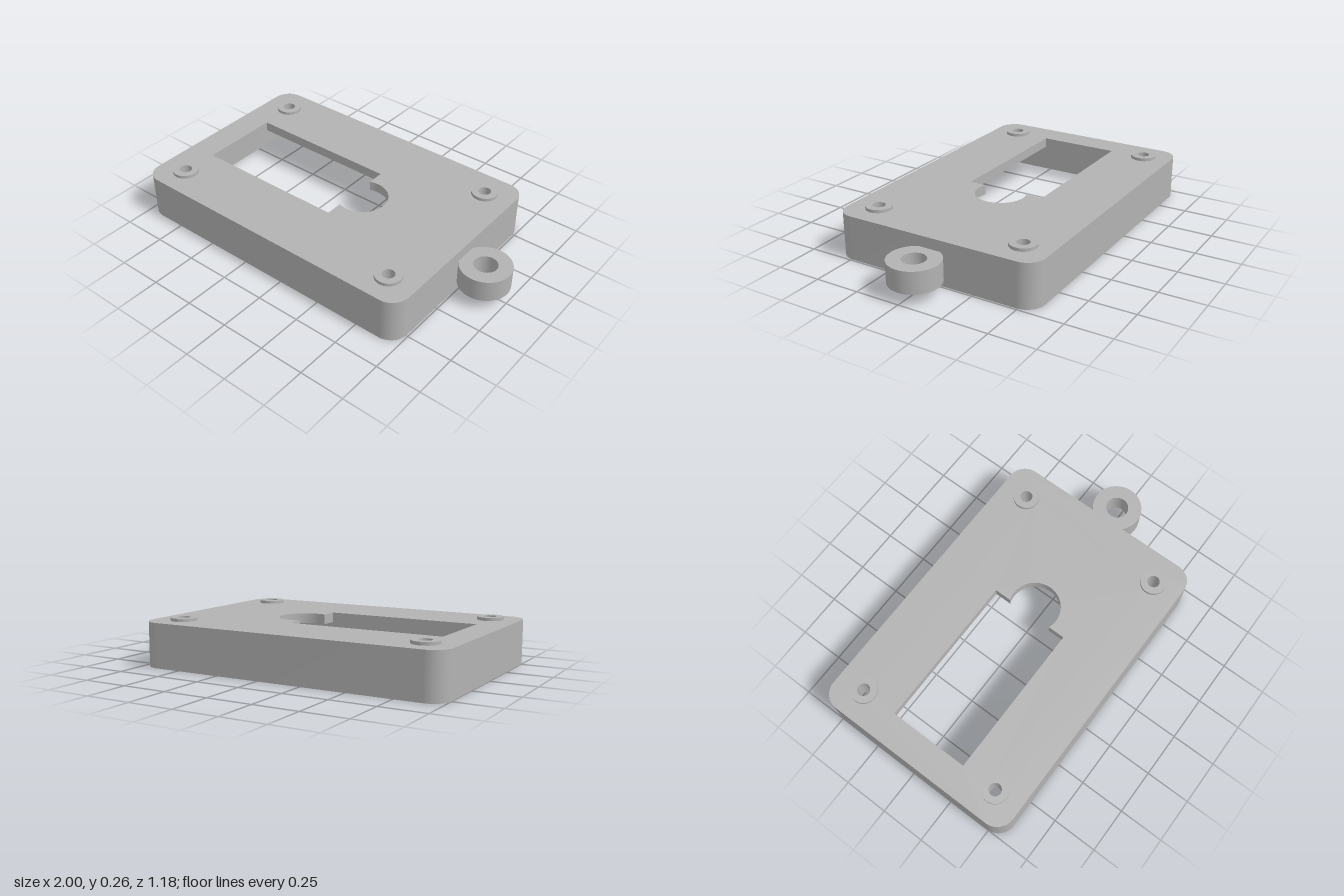
import * as THREE from 'three';
import { mergeGeometries, toCreasedNormals } from 'three/addons/utils/BufferGeometryUtils.js';

const SEG = 24;
const HEIGHT = 0.245, CEILING = 0.19, WALL = 0.055;
const X0 = -1, X1 = 0.74, HALF_Z = 0.592, CORNER = 0.1;
const BOSS_X = [-0.84, 0.575], BOSS_Z = 0.433;

// Crease at a larger scale so that nearby points stay distinct
function crease(geometry) {
  geometry.scale(100, 100, 100);
  const result = toCreasedNormals(geometry, 0.6);
  return result.scale(0.01, 0.01, 0.01);
}

function roundedOutline() {
  const s = new THREE.Shape(), r = CORNER, z = HALF_Z;
  s.absarc(X1 - r, z - r, r, 0, Math.PI / 2);
  s.absarc(X0 + r, z - r, r, Math.PI / 2, Math.PI);
  s.absarc(X0 + r, r - z, r, Math.PI, Math.PI * 1.5);
  s.absarc(X1 - r, r - z, r, Math.PI * 1.5, Math.PI * 2);
  s.closePath();
  return s;
}

function cavityOutline() {
  const a = X0 + WALL, b = X1 - WALL, z = HALF_Z - WALL;
  return new THREE.Shape([[a, -z], [b, -z], [b, z], [a, z]].map(p => new THREE.Vector2(...p)));
}

// Rectangular window with a round bay on its +x side
function windowOutline() {
  const s = new THREE.Shape(), left = -0.84, right = 0.025, z = 0.227, r = 0.14, cx = 0.075;
  const a = Math.acos((right - cx) / r);
  s.moveTo(left, -z);
  s.lineTo(right, -z);
  s.absarc(cx, 0, r, -a, a);
  s.lineTo(right, z);
  s.lineTo(left, z);
  s.closePath();
  return s;
}

// Flat face at height y, looking up or down
function cap(outline, holes, y, up) {
  const s = outline.clone();
  s.holes = holes;
  const g = new THREE.ShapeGeometry(s, SEG).toNonIndexed();
  g.deleteAttribute('normal');
  g.deleteAttribute('uv');
  return g.rotateX(up ? -Math.PI / 2 : Math.PI / 2).translate(0, y, 0);
}

// Upright band along an outline, looking outward or inward
function band(outline, y0, y1, outward) {
  const pts = outline.getPoints(SEG);
  if (THREE.ShapeUtils.isClockWise(pts) === outward) pts.reverse();
  const pos = [];
  pts.forEach((a, i) => {
    const b = pts[(i + 1) % pts.length];
    if (a.distanceTo(b) < 1e-6) return;
    pos.push(a.x, y0, -a.y, b.x, y0, -b.y, b.x, y1, -b.y);
    pos.push(a.x, y0, -a.y, b.x, y1, -b.y, a.x, y1, -a.y);
  });
  return new THREE.BufferGeometry().setAttribute('position', new THREE.Float32BufferAttribute(pos, 3));
}

// Upright tube with square edges
function ring(outer, inner, y0, y1) {
  const profile = [[outer, y0], [outer, y1], [inner, y1], [inner, y0], [outer, y0]];
  return crease(new THREE.LatheGeometry(profile.map(p => new THREE.Vector2(...p)), 64));
}

export function createModel() {
  const group = new THREE.Group();
  group.name = 'coverPlate';
  const grey = new THREE.MeshStandardMaterial({ color: 0xb2b2b2 });
  grey.name = 'grey';

  const add = (name, geometry, x = 0, z = 0) => {
    const mesh = new THREE.Mesh(geometry, grey);
    mesh.name = name;
    mesh.position.set(x, 0, z);
    group.add(mesh);
  };

  // Hollow shell, open underneath
  const outline = roundedOutline(), cavity = cavityOutline(), opening = windowOutline();
  const holes = [opening];
  for (const x of BOSS_X) for (const z of [-BOSS_Z, BOSS_Z]) {
    holes.push(new THREE.Path().absarc(x, z, 0.05, 0, Math.PI * 2));
  }
  add('shell', crease(mergeGeometries([
    cap(outline, holes, HEIGHT, true),
    cap(cavity, holes, CEILING, false),
    cap(outline, [cavity], 0, false),
    band(outline, 0, HEIGHT, true),
    band(cavity, 0, CEILING, false),
    band(opening, CEILING, HEIGHT, false),
  ])));

  // Screw bosses through the top plate
  const boss = ring(0.072, 0.034, 0.113, 0.262);
  for (const x of BOSS_X) for (const z of [-BOSS_Z, BOSS_Z]) add('screwBoss', boss, x, z);

  // Eyelet on the end wall
  add('eyelet', ring(0.138, 0.063, 0.065, 0.185), 0.862, 0);
  return group;
}
